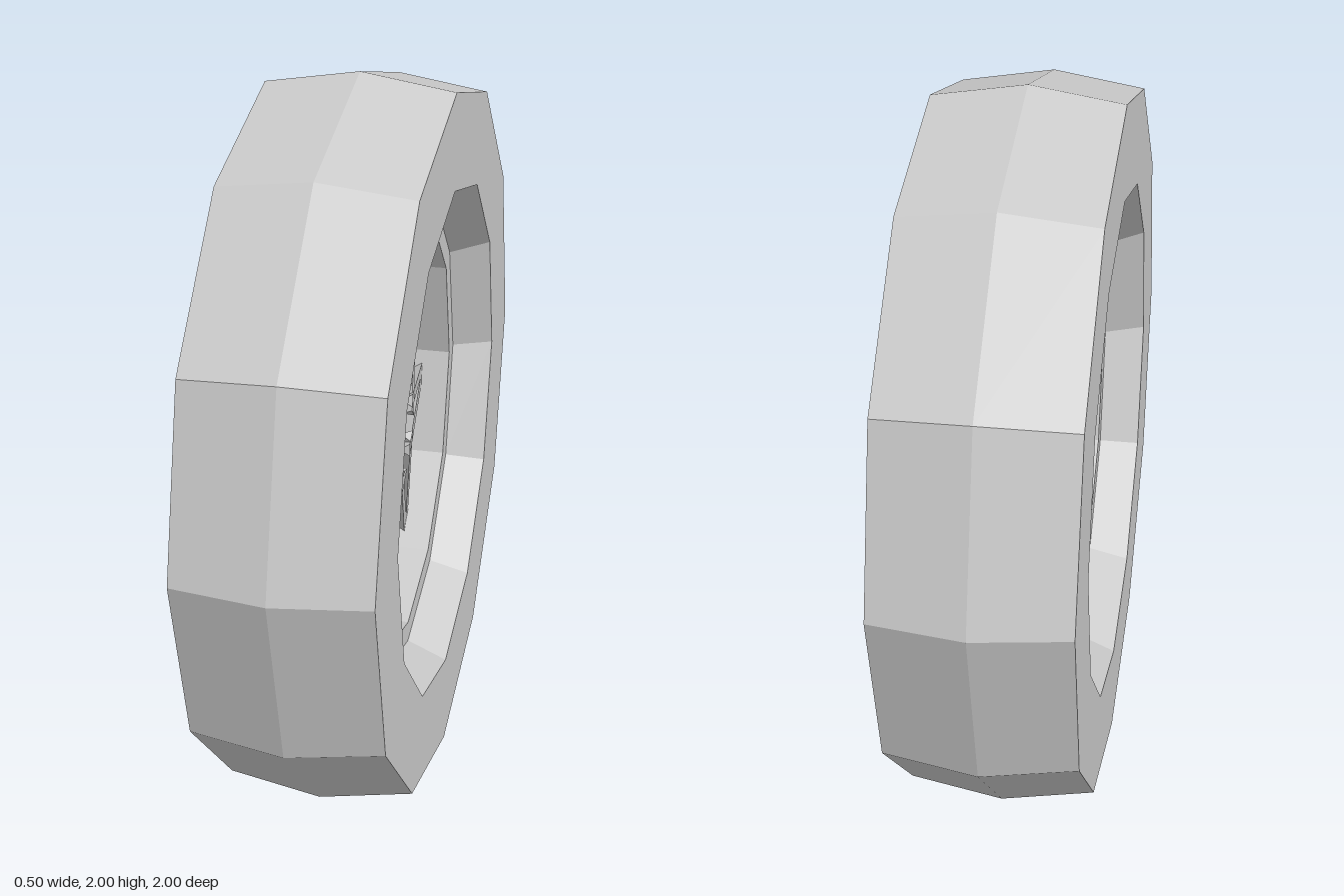
import * as THREE from 'three';

const SIDES = 12;
const AXLE_Y = 1;

// Sweeps a closed (radius, offset) profile around the x axis.
function ring(name, profile, material) {
  const points = profile.map(([r, o]) => new THREE.Vector2(r, o));
  const geometry = new THREE.LatheGeometry(points, SIDES).rotateZ(Math.PI / 2);
  const mesh = new THREE.Mesh(geometry, material);
  mesh.name = name;
  return mesh;
}

// Point at an angle in degrees from the top, turning towards the back.
function polar(x, radius, degrees) {
  const a = THREE.MathUtils.degToRad(degrees);
  return new THREE.Vector3(x, radius * Math.cos(a), -radius * Math.sin(a));
}

// Three-sided bar whose flat face looks out towards the given side.
function spoke(from, to, side, material) {
  const along = to.clone().sub(from);
  const geometry = new THREE.CylinderGeometry(0.0215, 0.0215, along.length(), 3);
  const yAxis = along.normalize();
  const zAxis = new THREE.Vector3(-side, 0, 0);
  zAxis.addScaledVector(yAxis, -zAxis.dot(yAxis)).normalize();
  const xAxis = new THREE.Vector3().crossVectors(yAxis, zAxis);
  const mesh = new THREE.Mesh(geometry, material);
  mesh.quaternion.setFromRotationMatrix(new THREE.Matrix4().makeBasis(xAxis, yAxis, zAxis));
  mesh.position.copy(from).add(to).multiplyScalar(0.5);
  mesh.name = 'spoke';
  return mesh;
}

export function createModel() {
  const material = new THREE.MeshStandardMaterial({ color: 0xcccccc, flatShading: true });
  const wheel = new THREE.Group();
  wheel.name = 'wheel';

  // Tyre with a slightly crowned tread and bevelled inner edges
  wheel.add(ring('tyre', [
    [0.65, -0.14], [0.70, -0.25], [0.96, -0.25], [1, 0],
    [0.96, 0.25], [0.70, 0.25], [0.65, 0.14],
  ], material));

  // Rim lining the tyre
  wheel.add(ring('rim', [
    [0.65, 0.14], [0.59, 0.14], [0.59, -0.14], [0.65, -0.14],
  ], material));

  // Crossed spoke pairs, eight on each side, the sides staggered by half a step
  for (const side of [1, -1]) {
    const spokes = new THREE.Group();
    spokes.name = side > 0 ? 'leftSpokes' : 'rightSpokes';
    for (let i = 0; i < 8; i++) {
      const turn = i * 45 + (side > 0 ? 0 : 22.5);
      for (const [inner, outer] of [[-18, 5.5], [45, 8.5]]) {
        const from = polar(side * 0.11, 0.135, turn + inner);
        const to = polar(side * 0.05, 0.575, turn + outer);
        spokes.add(spoke(from, to, side, material));
      }
    }
    wheel.add(spokes);
  }

  wheel.position.y = AXLE_Y;
  const model = new THREE.Group();
  model.name = 'spokedWheel';
  model.add(wheel);
  return model;
}
